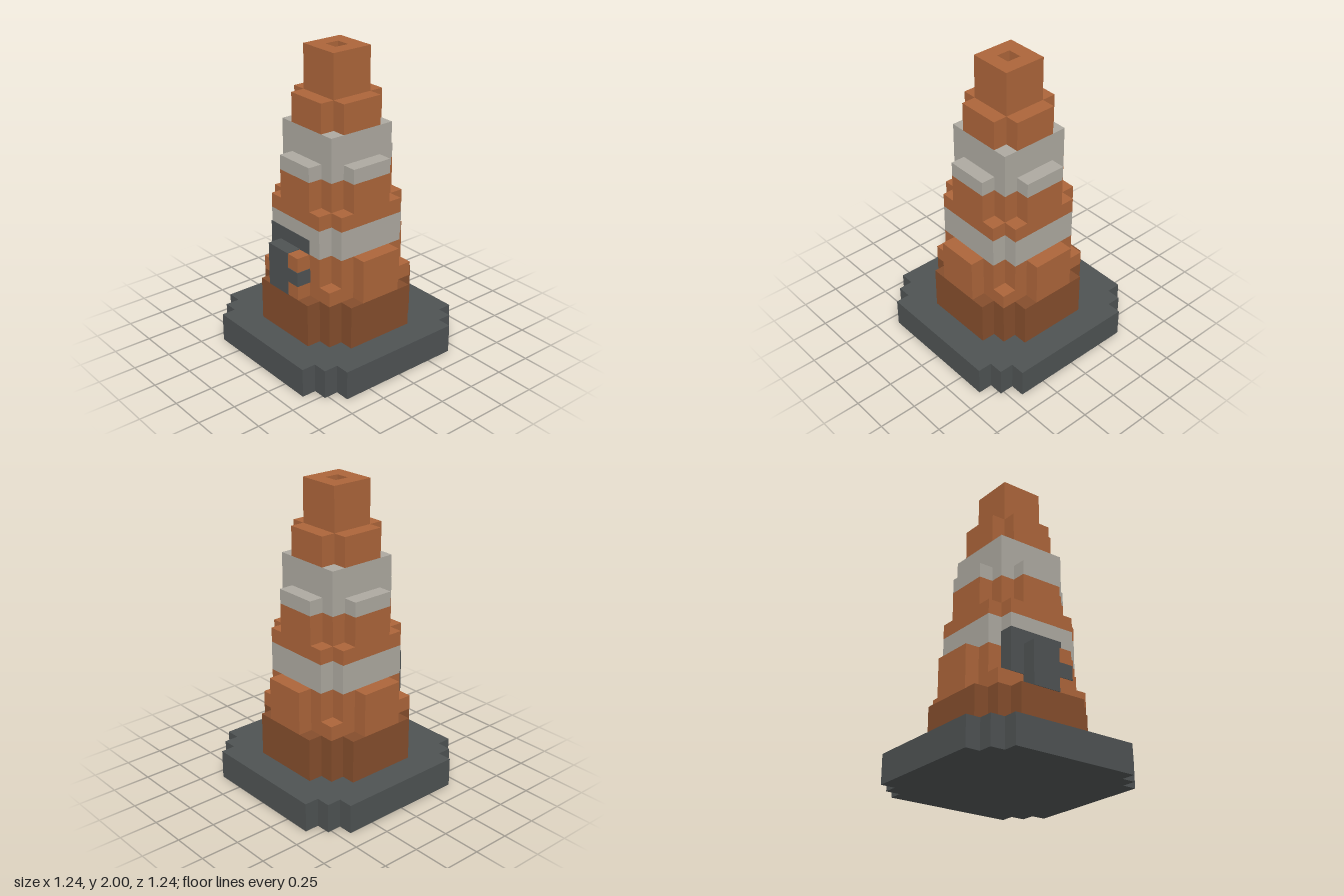
import * as THREE from 'three';

const U = 2 / 21; // one voxel

const material = (name, color) => {
  const m = new THREE.MeshStandardMaterial({ color });
  m.name = name;
  return m;
};

// Outline with four-fold symmetry from the outer corners of one quadrant
function stepOutline(corners) {
  const quarter = [];
  corners.forEach(([x, y], i) => {
    quarter.push([x, y]);
    if (i + 1 < corners.length) quarter.push([corners[i + 1][0], y]);
  });
  const points = [];
  for (let turn = 0; turn < 4; turn++) {
    for (const [x, y] of quarter) {
      const [px, py] = [[x, y], [-y, x], [-x, -y], [y, -x]][turn];
      points.push(new THREE.Vector2(px * U, py * U));
    }
  }
  return points;
}

export function createModel() {
  const group = new THREE.Group();
  const orange = material('orange', 0xac653a);
  const darkOrange = material('dark orange', 0x844d2c);
  const pale = material('pale grey', 0xada9a0);
  const charcoal = material('charcoal', 0x4e5253);

  // Stepped slab between two voxel heights, with an optional square hole
  function layer(name, y0, y1, mat, corners, hole) {
    const shape = new THREE.Shape(stepOutline(corners));
    if (hole) shape.holes.push(new THREE.Path(stepOutline([[hole, hole]])));
    const geo = new THREE.ExtrudeGeometry(shape, { depth: (y1 - y0) * U, bevelEnabled: false });
    geo.rotateX(-Math.PI / 2);
    const mesh = new THREE.Mesh(geo, mat);
    mesh.position.y = y0 * U;
    mesh.name = name;
    group.add(mesh);
  }

  // Box between two voxel corners
  function block(name, mat, a, b) {
    const size = a.map((v, i) => (b[i] - v) * U);
    const mesh = new THREE.Mesh(new THREE.BoxGeometry(...size), mat);
    mesh.position.set(...a.map((v, i) => ((v + b[i]) / 2) * U));
    mesh.name = name;
    group.add(mesh);
  }

  // Base plate
  layer('basePlate', 0, 2, charcoal, [[6.5, 4.5], [5.5, 5.5], [4.5, 6.5]]);

  // Cone body, from the wide foot to the tip
  const collar = [[3.5, 2.5], [2.5, 3.5]];
  const waist = [[3.5, 1.5], [2.5, 2.5], [1.5, 3.5]];
  layer('foot', 2, 5, darkOrange, [[4.5, 2.5], [3.5, 3.5], [2.5, 4.5]]);
  layer('lowerBody', 5, 6, orange, [[4.5, 1.5], [3.5, 3.5], [1.5, 4.5]]);
  layer('lowerBodyTop', 6, 8, orange, [[4.5, 1.5], ...collar, [1.5, 4.5]]);
  layer('lowerStripe', 8, 10, pale, collar);
  layer('middleBody', 10, 11, orange, collar);
  layer('middleBodyTop', 11, 13, orange, waist);
  layer('upperStripe', 13, 14, pale, waist);
  layer('upperStripeTop', 14, 16, pale, [[2.5, 2.5]]);
  layer('upperBody', 16, 18, orange, [[2.5, 1.5], [1.5, 2.5]]);
  layer('tip', 18, 20, orange, [[1.5, 1.5]]);
  layer('tipRim', 20, 21, orange, [[1.5, 1.5]], 0.5);

  // Scuffed dark patch on the right side, just proud of the body
  const e = 0.04;
  block('patchInner', charcoal, [-3.5 - e, 6, -2.5 - e], [-2.4, 9, 1.5]);
  block('patchOuter', charcoal, [-4.5 - e, 5, -1.5 - e], [-3.4, 8 + e, 0.5]);
  block('patchEdge', charcoal, [-4.5 - e, 6, 0.4], [-3.5, 7, 1.5 + e]);

  return group;
}
